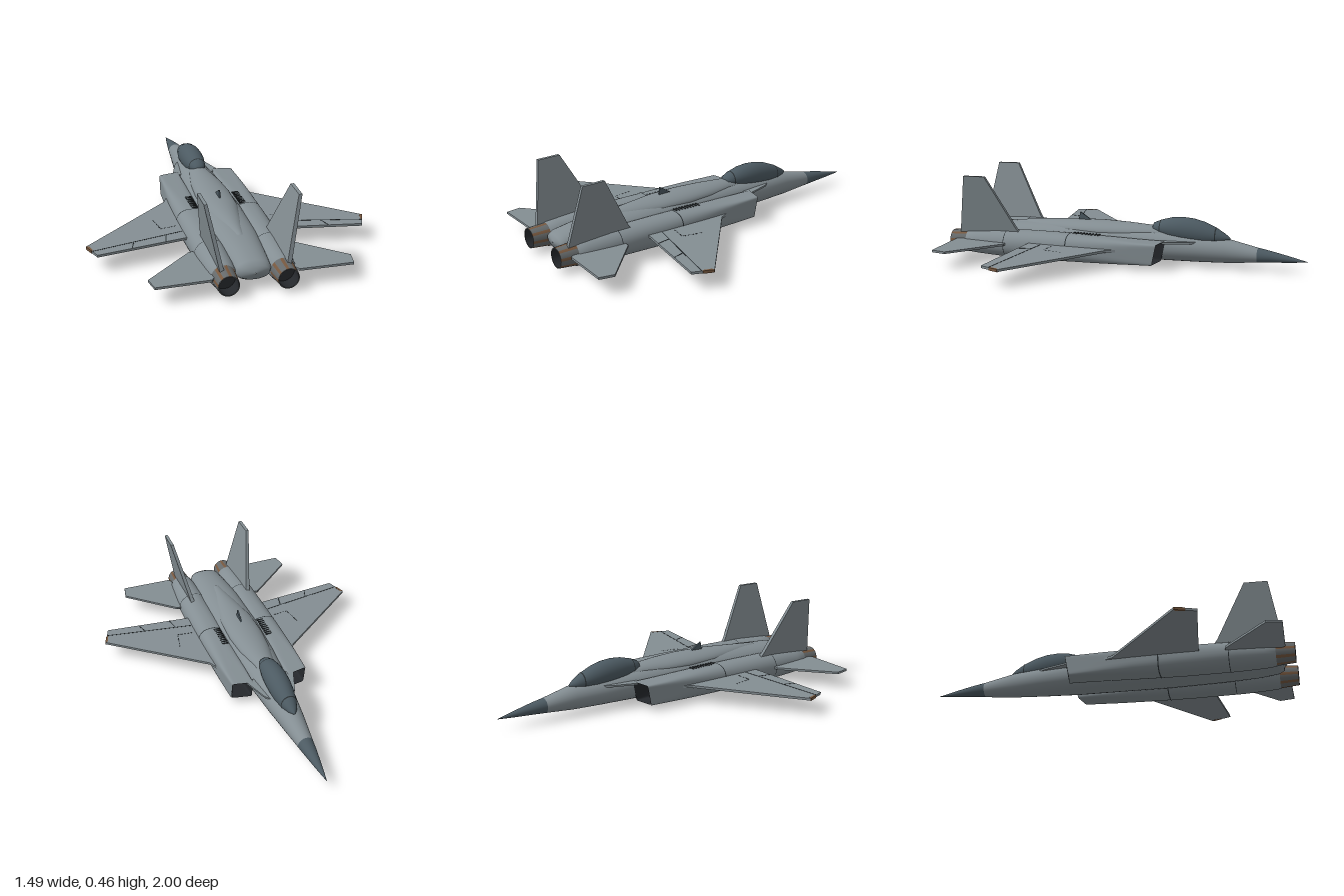
import * as THREE from 'three';
import { mergeGeometries } from 'three/addons/utils/BufferGeometryUtils.js';

const paint = (name, color, side = THREE.FrontSide) => {
  const m = new THREE.MeshStandardMaterial({ color, side });
  m.name = name;
  return m;
};

// Cross-sections: [z, centre x, centre y, half width, half height, squareness]
const FUSELAGE = [
  [-0.73, 0, 0.085, 0.042, 0.040, 2], [-0.56, 0, 0.096, 0.064, 0.066, 2],
  [-0.4, 0, 0.1, 0.084, 0.076, 2], [-0.2, 0, 0.104, 0.102, 0.083, 2.2],
  [0, 0, 0.108, 0.115, 0.085, 2.3], [0.3, 0, 0.108, 0.125, 0.085, 2.3],
  [0.6, 0, 0.105, 0.12, 0.078, 2.2], [0.8, 0, 0.1, 0.1, 0.068, 2.2],
  [0.9, 0, 0.098, 0.09, 0.052, 2.2], [0.93, 0, 0.098, 0.075, 0.036, 2.2], [0.94, 0, 0.098, 0.002, 0.002, 2]];
const NOSE = [
  [-1, 0, 0.068, 0.001, 0.001, 2], [-0.9, 0, 0.075, 0.018, 0.017, 2],
  [-0.8, 0, 0.082, 0.033, 0.031, 2], [-0.73, 0, 0.085, 0.042, 0.040, 2]];
const SPINE = [
  [-0.3, 0, 0.16, 0.05, 0.03, 2], [-0.14, 0, 0.165, 0.06, 0.042, 2],
  [0, 0, 0.165, 0.085, 0.048, 2], [0.15, 0, 0.165, 0.096, 0.051, 2],
  [0.32, 0, 0.163, 0.092, 0.048, 2], [0.5, 0, 0.158, 0.06, 0.04, 2],
  [0.67, 0, 0.155, 0.025, 0.028, 2], [0.69, 0, 0.155, 0.002, 0.002, 2]];
const CANOPY = [
  [-0.58, 0, 0.163, 0.003, 0.003, 2], [-0.55, 0, 0.166, 0.025, 0.022, 2],
  [-0.5, 0, 0.173, 0.043, 0.045, 2], [-0.43, 0, 0.182, 0.056, 0.065, 2],
  [-0.37, 0, 0.19, 0.061, 0.071, 2], [-0.31, 0, 0.195, 0.062, 0.07, 2],
  [-0.25, 0, 0.197, 0.058, 0.062, 2], [-0.19, 0, 0.198, 0.047, 0.044, 2],
  [-0.15, 0, 0.198, 0.033, 0.026, 2], [-0.138, 0, 0.198, 0.002, 0.002, 2]];
const NACELLE = [
  [-0.22, 0.157, 0.092, 0.058, 0.059, 12], [-0.1, 0.159, 0.091, 0.063, 0.062, 7],
  [0, 0.16, 0.09, 0.068, 0.067, 4.5], [0.15, 0.158, 0.088, 0.076, 0.073, 3],
  [0.4, 0.155, 0.085, 0.083, 0.079, 2.3], [0.7, 0.152, 0.083, 0.083, 0.078, 2],
  [0.84, 0.15, 0.08, 0.074, 0.07, 2], [0.9, 0.15, 0.08, 0.067, 0.065, 2], [0.901, 0.15, 0.08, 0.05, 0.05, 2]];
const DUCT = [[-0.219, 0.157, 0.092, 0.054, 0.055, 12], [-0.08, 0.159, 0.091, 0.05, 0.05, 7], [-0.079, 0.159, 0.091, 0.001, 0.001, 2]];

// Skin stretched over cross-sections
function loft(sections, segs = 32) {
  const pos = [], idx = [];
  const power = (v, n) => Math.sign(v) * Math.abs(v) ** (2 / n);
  sections.forEach(([z, cx, cy, hw, hh, n], i) => {
    for (let j = 0; j < segs; j++) {
      const a = (j + 0.5) / segs * Math.PI * 2;
      pos.push(cx + hw * power(Math.cos(a), n), cy + hh * power(Math.sin(a), n), z);
      if (i === sections.length - 1) continue;
      const p = i * segs + j, q = i * segs + (j + 1) % segs;
      idx.push(p, q, p + segs, q, q + segs, p + segs);
    }
  });
  const g = new THREE.BufferGeometry();
  g.setAttribute('position', new THREE.Float32BufferAttribute(pos, 3));
  g.setIndex(idx);
  g.computeVertexNormals();
  return g;
}

// Section of a loft at a given z
function sectionAt(sections, z) {
  const i = Math.max(1, sections.findIndex(s => s[0] >= z));
  const a = sections[i - 1], b = sections[i], t = (z - a[0]) / (b[0] - a[0]);
  return a.map((v, k) => v + (b[k] - v) * t);
}
function topY(sections, x, z) {
  const [, cx, cy, hw, hh, n] = sectionAt(sections, z);
  return cy + hh * Math.max(0, 1 - Math.abs((x - cx) / hw) ** n) ** (1 / n);
}
// Thin seam band wrapped around a loft
function band(sections, z, w = 0.006) {
  return loft([z - w / 2, z + w / 2].map(v => {
    const s = sectionAt(sections, v);
    s[3] += 0.0012; s[4] += 0.0012;
    return s;
  }));
}

// Flat panel from an [x, z] outline, with its top following height(x)
function panel(outline, height, thick) {
  const g = new THREE.ExtrudeGeometry(new THREE.Shape(outline.map(p => new THREE.Vector2(...p))), { depth: thick, bevelEnabled: false });
  g.rotateX(Math.PI / 2);
  const p = g.attributes.position;
  for (let i = 0; i < p.count; i++) p.setY(i, p.getY(i) + height(p.getX(i)));
  g.computeVertexNormals();
  return g;
}
function strip([x1, z1], [x2, z2], height, w = 0.005) {
  const l = Math.hypot(x2 - x1, z2 - z1), nx = -(z2 - z1) / l * w / 2, nz = (x2 - x1) / l * w / 2;
  return panel([[x1 + nx, z1 + nz], [x2 + nx, z2 + nz], [x2 - nx, z2 - nz], [x1 - nx, z1 - nz]], x => height(x) + 0.001, 0.002);
}

function mirrored(geo) {
  const g = (geo.index ? geo.toNonIndexed() : geo.clone()).scale(-1, 1, 1);
  for (const a of Object.values(g.attributes)) {
    const s = a.itemSize;
    for (let i = 0; i < a.count; i += 3) for (let k = 0; k < s; k++) {
      const u = (i + 1) * s + k, v = (i + 2) * s + k;
      [a.array[u], a.array[v]] = [a.array[v], a.array[u]];
    }
  }
  return g;
}

export function createModel() {
  const model = new THREE.Group();
  model.name = 'jetFighter';
  const grey = paint('hullGrey', 0x848e93);
  const slate = paint('darkSlate', 0x4c5a62);
  const line = paint('seamDark', 0x2b3134);
  const metal = paint('nozzleMetal', 0x666a6b);
  const bronze = paint('burntBronze', 0x77583f);
  const dark = paint('interiorDark', 0x25282c, THREE.DoubleSide);

  const add = (name, geo, mat) => {
    const m = new THREE.Mesh(geo, mat);
    m.name = name;
    model.add(m);
  };
  const pair = (name, geo, mat) => {
    add(name + 'Left', geo, mat);
    add(name + 'Right', mirrored(geo), mat);
  };

  // Body
  add('fuselage', loft(FUSELAGE), grey);
  add('noseCone', loft(NOSE), slate);
  add('spine', loft(SPINE), grey);
  add('canopy', loft(CANOPY), slate);
  add('canopyFrame', mergeGeometries([band(CANOPY, -0.5), band(CANOPY, -0.19)]), line);

  // Engine nacelles and intakes, with raked lips
  const nacelle = loft(NACELLE, 40), duct = loft(DUCT, 40);
  for (const g of [nacelle, duct]) {
    const p = g.attributes.position;
    for (let i = 0; i < p.count; i++) if (p.getZ(i) < -0.2)
      p.setZ(i, p.getZ(i) - (p.getY(i) - 0.09) * 0.2 + (p.getX(i) - 0.157) * 0.2);
  }
  pair('nacelle', nacelle, grey);
  pair('intakeDuct', duct, dark);
  pair('intakeStrake', panel([[0.06, -0.41], [0.088, -0.37], [0.135, -0.23], [0.06, -0.2]], () => 0.147, 0.01), grey);
  pair('nacelleSeams', mergeGeometries([band(NACELLE, 0.29), band(NACELLE, 0.66, 0.004)]), line);

  // Cooling louvres
  const louvres = [];
  for (let i = 0; i < 9; i++) {
    const z = 0.13 + i * 0.018;
    louvres.push(new THREE.BoxGeometry(0.036, 0.006, 0.007).translate(0.132, topY(NACELLE, 0.132, z), z));
  }
  pair('louvres', mergeGeometries(louvres), line);

  // Nozzles made of alternating petals
  const petals = [[], []], count = 24;
  for (let i = 0; i < count; i++) {
    const step = Math.PI * 2 / count;
    const g = new THREE.CylinderGeometry(0.054, 0.064, 0.12, 1, 1, true, i * step, step);
    petals[i % 3 === 0 ? 1 : 0].push(g.rotateX(Math.PI / 2).translate(0.15, 0.08, 0.94));
  }
  petals[0].push(new THREE.RingGeometry(0.049, 0.054, count).translate(0.15, 0.08, 1));
  pair('nozzle', mergeGeometries(petals[0]), metal);
  pair('nozzleHeatStripes', mergeGeometries(petals[1]), bronze);
  pair('nozzleInterior', mergeGeometries([
    new THREE.CylinderGeometry(0.049, 0.055, 0.08, count, 1, true).rotateX(Math.PI / 2).translate(0.15, 0.08, 0.96),
    new THREE.CircleGeometry(0.055, count).translate(0.15, 0.08, 0.92)]), dark);

  // Wings, with hinge lines and walkway marks
  const wingY = x => 0.111 - (x - 0.2) * 0.02;
  pair('wing', panel([[0.15, -0.04], [0.222, -0.01], [0.25, 0.05], [0.745, 0.455], [0.705, 0.565], [0.24, 0.507], [0.15, 0.507]], wingY, 0.013), grey);
  pair('wingLines', mergeGeometries([
    [[0.24, 0.428], [0.72, 0.515]], [[0.33, 0.445], [0.345, 0.52]], [[0.505, 0.477], [0.525, 0.541]],
  ].map(([a, b]) => strip(a, b, wingY))), line);
  const dashes = [];
  for (const [a, b] of [[[0.36, 0.26], [0.34, 0.37]], [[0.34, 0.37], [0.25, 0.358]]])
    for (let i = 0; i < 5; i++) {
      const at = t => [a[0] + (b[0] - a[0]) * t, a[1] + (b[1] - a[1]) * t];
      dashes.push(strip(at(i / 5), at((i + 0.6) / 5), wingY, 0.004));
    }
  pair('walkwayMarks', mergeGeometries(dashes), line);
  pair('wingTipLight', panel([[0.745, 0.454], [0.747, 0.458], [0.728, 0.51], [0.718, 0.508], [0.73, 0.462]], x => wingY(x) + 0.001, 0.015), bronze);

  // Tailplanes
  pair('tailplane', panel([[0.15, 0.645], [0.258, 0.645], [0.515, 0.875], [0.5, 0.957], [0.22, 0.952], [0.17, 0.88]], () => 0.1, 0.012), grey);

  // Canted fins, thinner at the tip
  const finShape = new THREE.Shape([[0.58, 0.15], [0.6, 0.175], [0.76, 0.468], [0.885, 0.465], [0.945, 0.125], [0.85, 0.1], [0.6, 0.1]].map(p => new THREE.Vector2(...p)));
  const fin = new THREE.ExtrudeGeometry(finShape, { depth: 0.022, bevelEnabled: false }).rotateY(-Math.PI / 2);
  const fp = fin.attributes.position;
  for (let i = 0; i < fp.count; i++) {
    const t = (fp.getY(i) - 0.15) / 0.315;
    fp.setX(i, (fp.getX(i) + 0.011) * (1 - 0.2 * t) + 0.173 + 0.062 * t);
  }
  fin.computeVertexNormals();
  pair('fin', fin, grey);

  // Blade antenna on the spine
  const blade = new THREE.Shape([[0.2, 0.2], [0.285, 0.255], [0.295, 0.2]].map(p => new THREE.Vector2(...p)));
  add('antenna', new THREE.ExtrudeGeometry(blade, { depth: 0.008, bevelEnabled: false }).rotateY(-Math.PI / 2).translate(0.004, 0, 0), slate);

  return model;
}
